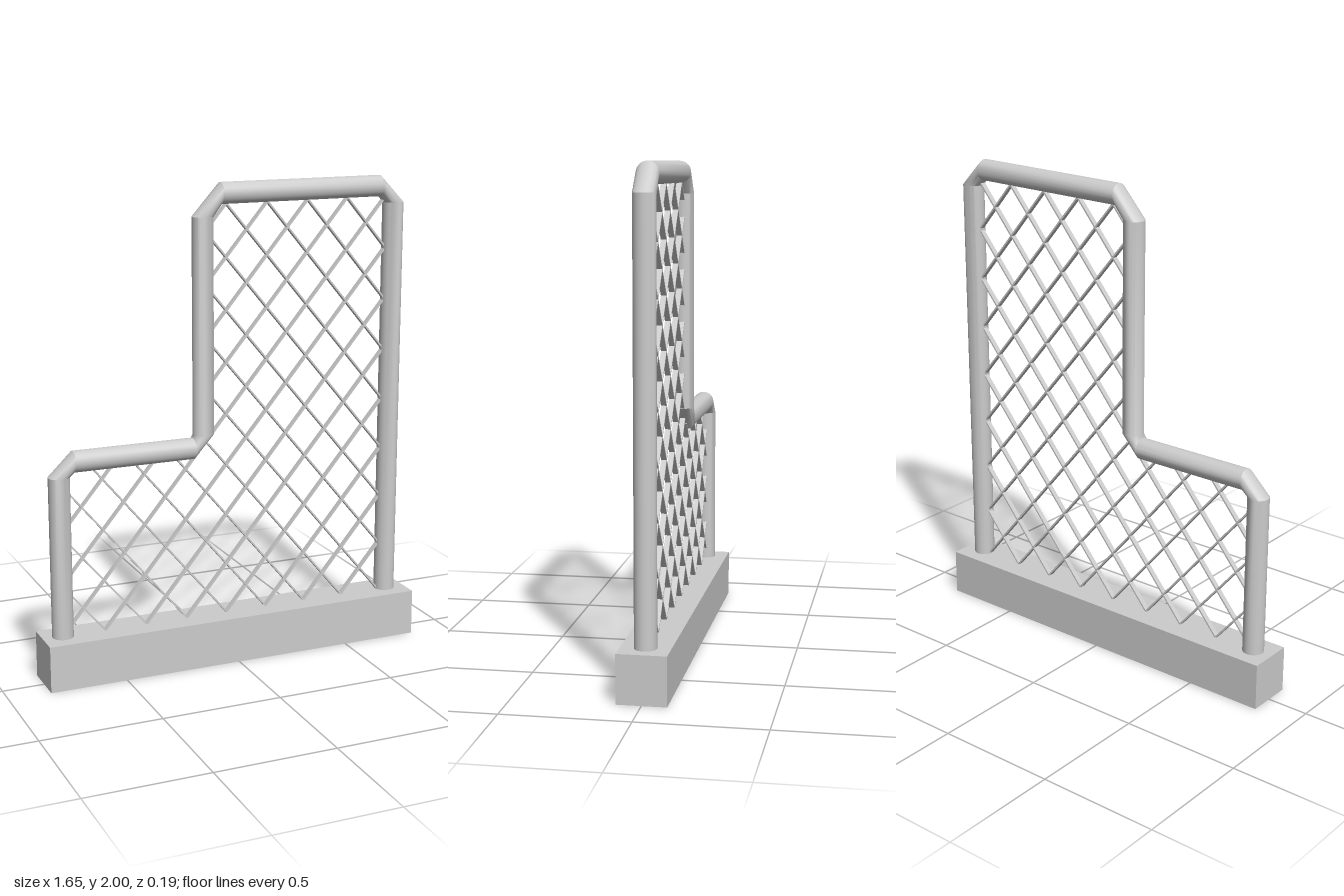
import * as THREE from 'three';
import { toCreasedNormals } from 'three/addons/utils/BufferGeometryUtils.js';

const BASE_TOP = 0.195, PIPE_R = 0.044, SIDES = 24;

// Sweeps a round pipe through rings [x, y, dirX, dirY]; each ring lies square to its own direction
function pipeGeometry(rings) {
  const pos = [], index = [];
  for (const [x, y, dx, dy] of rings) {
    for (let j = 0; j < SIDES; j++) {
      const t = (j / SIDES) * Math.PI * 2, c = Math.cos(t) * PIPE_R;
      pos.push(x - dy * c, y + dx * c, Math.sin(t) * PIPE_R);
    }
  }
  for (let i = 0; i < rings.length - 1; i++) {
    for (let j = 0; j < SIDES; j++) {
      const k = (j + 1) % SIDES;
      const a = i * SIDES + j, b = i * SIDES + k, c = b + SIDES, d = a + SIDES;
      index.push(a, b, c, a, c, d);
    }
  }
  const g = new THREE.BufferGeometry();
  g.setAttribute('position', new THREE.Float32BufferAttribute(pos, 3));
  g.setIndex(index);
  return toCreasedNormals(g, 0.5);
}

export function createModel() {
  const model = new THREE.Group();
  const grey = new THREE.MeshStandardMaterial({ color: 0xcccccc });
  const add = (name, geometry, parent = model) => {
    const mesh = new THREE.Mesh(geometry, grey);
    mesh.name = name;
    parent.add(mesh);
    return mesh;
  };

  // Plinth
  add('base', new THREE.BoxGeometry(1.65, BASE_TOP, 0.195)).position.y = BASE_TOP / 2;

  // Stepped pipe frame with bevelled corners, from the left foot to the right foot
  add('pipeFrame', pipeGeometry([
    [-0.74, BASE_TOP - 0.01, 0, 1], [-0.74, 0.867, 0, 1],
    [-0.68, 0.924, 1, 0], [-0.167, 0.924, 1, 0],
    [-0.12, 0.98, 0, 1], [-0.12, 1.867, 0, 1],
    [-0.043, 1.956, 1, 0], [0.67, 1.956, 1, 0],
    [0.735, 1.887, 0, -1], [0.735, BASE_TOP - 0.01, 0, -1],
  ]));

  // Diamond lattice: flat strips in both diagonals, clipped to the low and the tall bay
  const lattice = new THREE.Group();
  lattice.name = 'wireLattice';
  model.add(lattice);
  const stepX = 0.18, slope = 0.215 / stepX;
  const bays = [
    { x0: -0.72, x1: 0.715, y0: BASE_TOP, y1: 0.91 },
    { x0: -0.1, x1: 0.715, y0: 0.91, y1: 1.935 },
  ];
  for (const s of [slope, -slope]) {
    for (let i = -14; i <= 14; i++) {
      const foot = -0.02 + i * stepX;
      for (const bay of bays) {
        const xa = foot + (bay.y0 - BASE_TOP) / s, xb = foot + (bay.y1 - BASE_TOP) / s;
        const lo = Math.max(bay.x0, Math.min(xa, xb));
        const hi = Math.min(bay.x1, Math.max(xa, xb));
        if (hi - lo < 0.005) continue;
        const length = (hi - lo) * Math.hypot(1, s);
        const wire = add('wire', new THREE.BoxGeometry(length, 0.007, 0.022), lattice);
        const mid = (lo + hi) / 2;
        wire.position.set(mid, BASE_TOP + s * (mid - foot), 0);
        wire.rotation.z = Math.atan(s);
      }
    }
  }
  return model;
}
